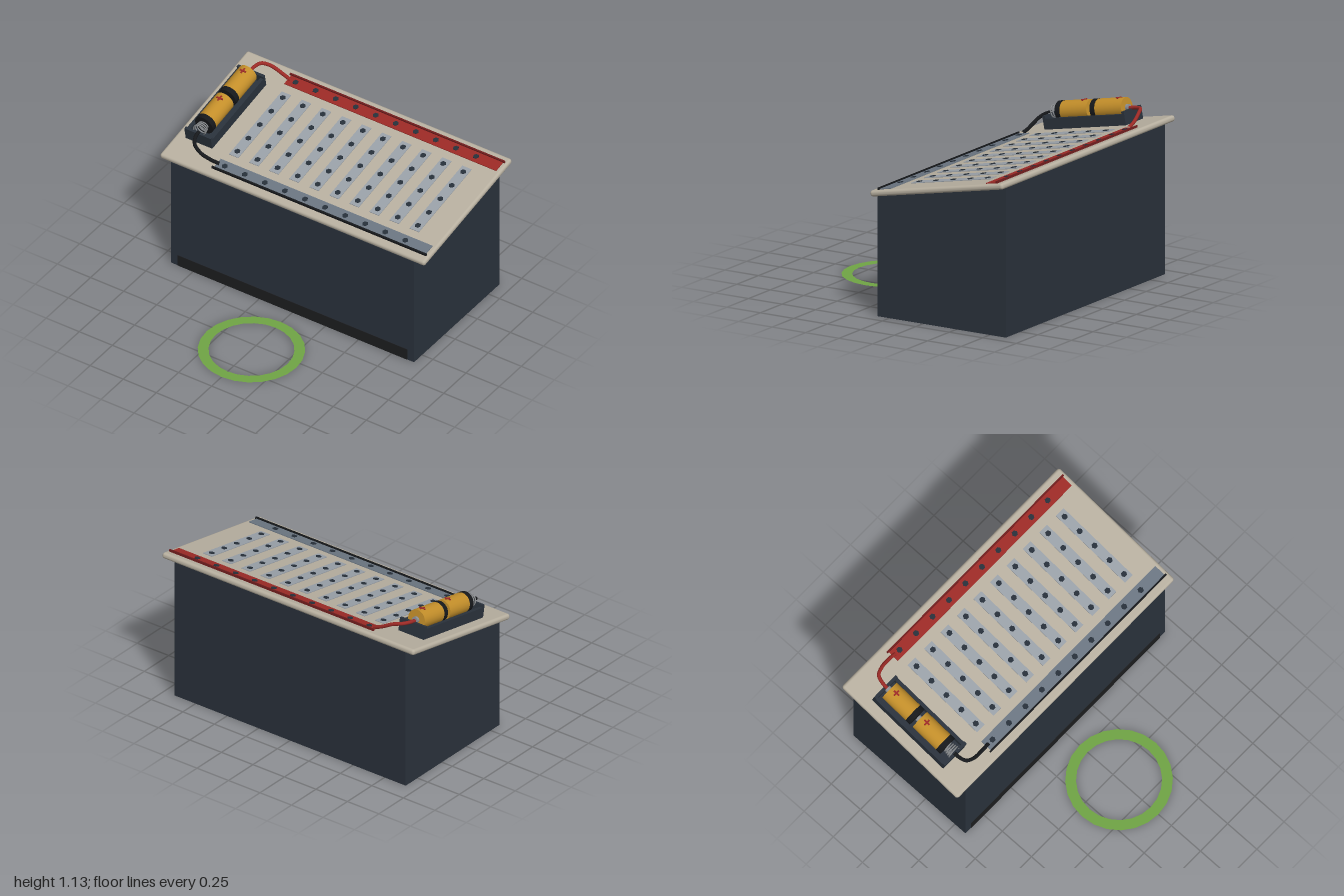
import * as THREE from 'three';
import { RoundedBoxGeometry } from 'three/addons/geometries/RoundedBoxGeometry.js';

const mat = (color, extra = {}) => new THREE.MeshStandardMaterial({ color, ...extra });
const M = {
  body: mat(0x2a323c), kick: mat(0x1c1d1f), board: mat(0xb8b0a0), strip: mat(0x9aa1a9),
  hole: mat(0x27303a), red: mat(0x9c2a26), darkRed: mat(0x6e1c1c), blue: mat(0x6b7682),
  black: mat(0x16181b), tray: mat(0x2a323c), gold: mat(0xc48f2a), metal: mat(0x8d9093),
  green: mat(0x70a445, { side: THREE.DoubleSide }),
};

function add(parent, name, geometry, material, x = 0, y = 0, z = 0) {
  const mesh = new THREE.Mesh(geometry, material);
  mesh.name = name;
  mesh.position.set(x, y, z);
  parent.add(mesh);
  return mesh;
}
const box = (w, h, d) => new THREE.BoxGeometry(w, h, d);
const rodZ = (r, len) => new THREE.CylinderGeometry(r, r, len, 24).rotateX(Math.PI / 2);
const curve = (pts) => new THREE.CatmullRomCurve3(pts.map((p) => new THREE.Vector3(...p)));

// Wedge-topped cabinet with a dark kick panel
function buildCabinet(root) {
  const side = new THREE.Shape([[0.09, 0], [0.09, 0.795], [-0.87, 0.98], [-0.87, 0]]
    .map(([z, y]) => new THREE.Vector2(z, y)));
  const geo = new THREE.ExtrudeGeometry(side, { depth: 1.836, bevelEnabled: false });
  geo.rotateY(-Math.PI / 2).translate(0.918, 0, 0);
  add(root, 'cabinet', geo, M.body);
  add(root, 'kickPanel', box(1.735, 0.08, 0.006), M.kick, 0, 0.04, 0.09);
}

// Contact strips, power rails and hexagonal sockets
function buildContacts(board) {
  const hole = new THREE.CylinderGeometry(0.02, 0.02, 0.008, 6).rotateY(Math.PI / 6);
  const rows = [-0.261, -0.13, 0, 0.131, 0.257];
  for (let i = 0; i < 10; i++) {
    const x = -0.572 + i * 0.1515;
    add(board, 'contactStrip', box(0.07, 0.006, 0.605), M.strip, x, 0.001, -0.002);
    for (const z of rows) add(board, 'socket', hole, M.hole, x, 0.003, z);
    for (const z of [-0.409, 0.402]) add(board, 'railSocket', hole, M.hole, x, 0.004, z);
  }
  add(board, 'positiveRail', box(1.6, 0.008, 0.084), M.red, 0.17, 0.001, -0.409);
  add(board, 'positiveRailEdge', box(1.62, 0.02, 0.012), M.darkRed, 0.17, 0.004, -0.452);
  add(board, 'negativeRail', box(1.6, 0.008, 0.084), M.blue, 0.17, 0.001, 0.402);
  add(board, 'negativeRailEdge', box(1.62, 0.02, 0.012), M.black, 0.17, 0.004, 0.446);
}

// One cell along z, terminal towards the back
function buildCell(parent, zBack) {
  const cell = new THREE.Group();
  cell.name = 'batteryCell';
  cell.position.set(0, 0.095, zBack);
  add(cell, 'terminal', rodZ(0.022, 0.02), M.metal, 0, 0, 0.006);
  add(cell, 'cellBody', rodZ(0.066, 0.205), M.gold, 0, 0, 0.1175);
  add(cell, 'cellBase', rodZ(0.067, 0.036), M.black, 0, 0, 0.237);
  // Polarity mark
  add(cell, 'polarityBar', box(0.045, 0.01, 0.011), M.red, 0, 0.063, 0.062);
  add(cell, 'polarityBar', box(0.011, 0.01, 0.045), M.red, 0, 0.063, 0.062);
  parent.add(cell);
}

function buildBatteryPack(board) {
  const pack = new THREE.Group();
  pack.name = 'batteryPack';
  pack.position.x = -0.828;
  board.add(pack);
  // Open tray
  add(pack, 'trayFloor', box(0.2, 0.03, 0.62), M.tray, 0, 0.015, 0);
  for (const s of [-1, 1]) {
    add(pack, 'traySide', box(0.024, 0.07, 0.62), M.tray, s * 0.088, 0.035, 0);
    add(pack, 'trayEnd', box(0.2, 0.088, 0.02), M.tray, 0, 0.044, s * 0.3);
  }
  buildCell(pack, -0.285);
  buildCell(pack, -0.02);
  // Contact spring
  const turns = 4, pts = [];
  for (let i = 0; i <= turns * 10; i++) {
    const a = (i / 10) * Math.PI * 2, t = i / (turns * 10), r = 0.032 + 0.012 * t;
    pts.push([Math.cos(a) * r, 0.095 + Math.sin(a) * r, 0.236 + 0.06 * t]);
  }
  add(pack, 'spring', new THREE.TubeGeometry(curve(pts), 100, 0.0045, 6), M.metal);
}

function buildWires(board) {
  const wire = (name, material, pts) =>
    add(board, name, new THREE.TubeGeometry(curve(pts), 40, 0.012, 10), material);
  wire('positiveWire', M.red, [[-0.828, 0.092, -0.29], [-0.825, 0.092, -0.335], [-0.805, 0.088, -0.385],
    [-0.75, 0.072, -0.408], [-0.67, 0.03, -0.415], [-0.61, 0.006, -0.411]]);
  wire('negativeWire', M.black, [[-0.828, 0.092, 0.295], [-0.826, 0.088, 0.335], [-0.805, 0.07, 0.38],
    [-0.75, 0.04, 0.403], [-0.68, 0.018, 0.405], [-0.61, 0.008, 0.402]]);
}

export function createModel() {
  const root = new THREE.Group();
  root.name = 'circuitConsole';
  buildCabinet(root);

  // Tilted board, origin at the centre of its top surface
  const board = new THREE.Group();
  board.name = 'slopedBoard';
  board.position.set(0, 0.925, -0.396);
  board.rotation.x = 0.19;
  root.add(board);
  add(board, 'boardPanel', new RoundedBoxGeometry(2, 0.04, 1.011, 3, 0.018), M.board, 0, -0.02, 0);
  buildContacts(board);
  buildBatteryPack(board);
  buildWires(board);

  // Flat floor ring in front
  add(root, 'floorRing', new THREE.RingGeometry(0.27, 0.338, 24).rotateX(-Math.PI / 2), M.green, 0, 0.002, 0.552);
  return root;
}
